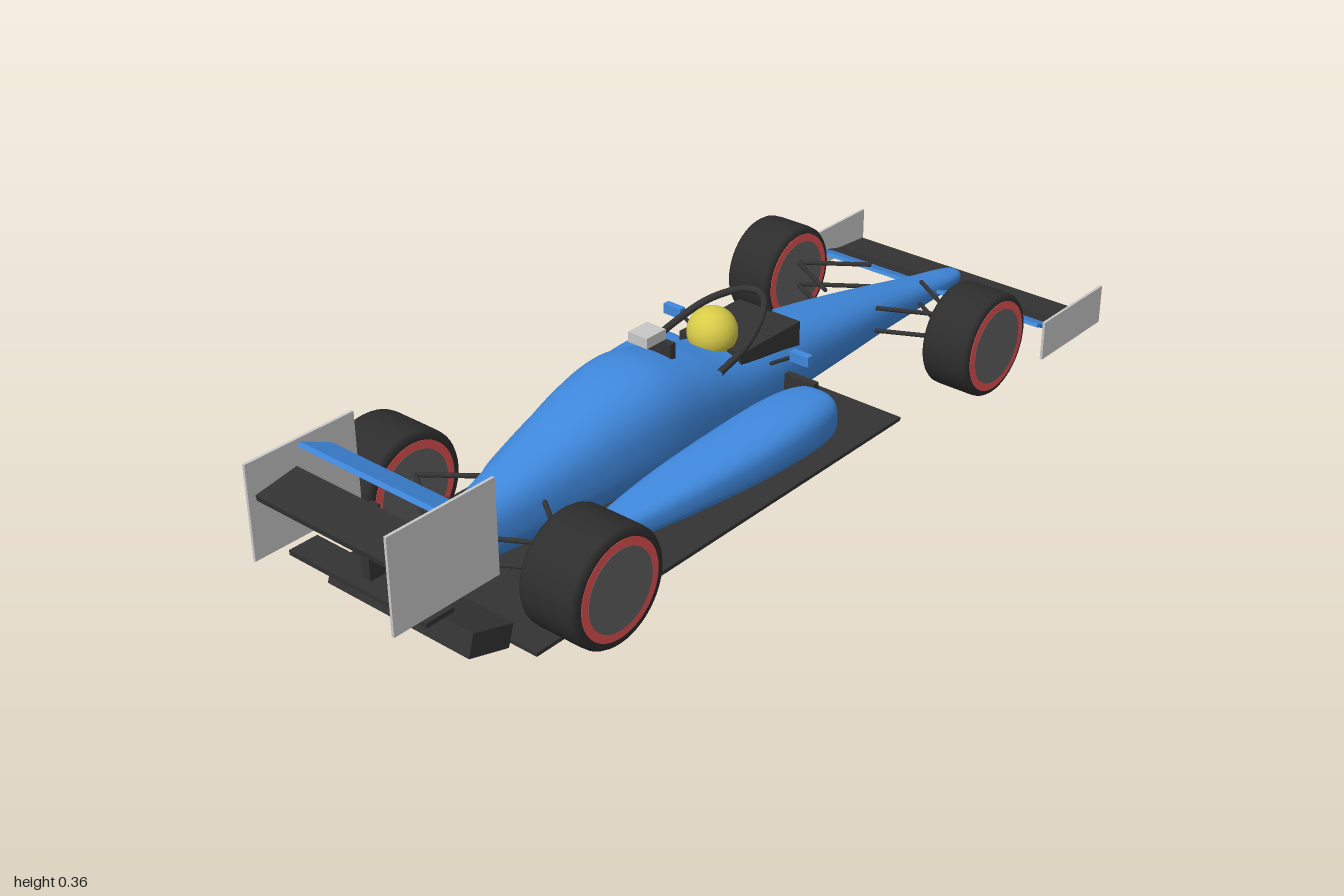
import * as THREE from 'three';

const paint = (name, color) => {
  const m = new THREE.MeshStandardMaterial({ color });
  m.name = name;
  return m;
};

// Uniform Catmull-Rom interpolation over rows of numbers
function sampleRows(rows, t) {
  const n = rows.length - 1;
  const i = Math.min(Math.floor(t * n), n - 1), f = t * n - i;
  const at = k => rows[Math.max(0, Math.min(n, k))];
  return rows[0].map((_, c) => {
    const a = at(i - 1)[c], b = at(i)[c], d = at(i + 1)[c], e = at(i + 2)[c];
    return b + 0.5 * f * (d - a + f * (2 * a - 5 * b + 4 * d - e + f * (3 * (b - d) + e - a)));
  });
}

// Smooth hull through superellipse sections: [z, centreX, halfWidth, bottomY, topY]
function loft(rows, power, rings = 60, sides = 40) {
  const pos = [], index = [];
  const bend = v => Math.sign(v) * Math.pow(Math.abs(v), 2 / power);
  for (let i = 0; i <= rings; i++) {
    const [z, cx, w, y0, y1] = sampleRows(rows, i / rings);
    for (let j = 0; j < sides; j++) {
      const a = (j / sides) * Math.PI * 2;
      pos.push(cx + w * bend(Math.cos(a)), (y0 + y1) / 2 + ((y1 - y0) / 2) * bend(Math.sin(a)), z);
    }
  }
  for (let i = 0; i < rings; i++) {
    for (let j = 0; j < sides; j++) {
      const k = (j + 1) % sides;
      const a = i * sides + j, b = i * sides + k, c = b + sides, d = a + sides;
      index.push(a, b, c, a, c, d);
    }
  }
  const g = new THREE.BufferGeometry();
  g.setAttribute('position', new THREE.Float32BufferAttribute(pos, 3));
  g.setIndex(index);
  g.computeVertexNormals();
  return g;
}

export function createModel() {
  const car = new THREE.Group();
  car.name = 'racingCar';
  const blue = paint('blue bodywork', 0x3f88dd);
  const dark = paint('dark carbon', 0x333333);
  const rubber = paint('tyre rubber', 0x2d2d2d);
  const red = paint('red tyre band', 0xe25050);
  const hub = paint('hub grey', 0x606060);
  const silver = paint('light grey', 0xc8c8c8);
  const yellow = paint('yellow helmet', 0xd8cb48);

  const add = (name, geo, mat, x = 0, y = 0, z = 0, parent = car) => {
    const m = new THREE.Mesh(geo, mat);
    m.name = name;
    m.position.set(x, y, z);
    parent.add(m);
    return m;
  };
  const box = (name, mat, w, h, d, x, y, z, tilt = 0) => {
    const m = add(name, new THREE.BoxGeometry(w, h, d), mat, x, y, z);
    m.rotation.x = tilt;
    return m;
  };
  const V = (x, y, z) => new THREE.Vector3(x, y, z);
  const tube = (name, points, r, segs = 1) =>
    add(name, new THREE.TubeGeometry(new THREE.CatmullRomCurve3(points), segs, r, 8), dark);
  const rod = (name, a, b, r = 0.005) => {
    const dir = b.clone().sub(a);
    const m = add(name, new THREE.CylinderGeometry(r, r, dir.length(), 8), dark);
    m.position.copy(a).addScaledVector(dir, 0.5);
    m.quaternion.setFromUnitVectors(V(0, 1, 0), dir.normalize());
  };

  // Main body from nose tip to tail
  add('body', loft([
    [-0.915, 0, 0.001, 0.07, 0.072],
    [-0.905, 0, 0.019, 0.058, 0.086],
    [-0.86, 0, 0.031, 0.055, 0.097],
    [-0.75, 0, 0.041, 0.056, 0.118],
    [-0.58, 0, 0.056, 0.058, 0.155],
    [-0.4, 0, 0.075, 0.058, 0.19],
    [-0.2, 0, 0.093, 0.058, 0.222],
    [-0.02, 0, 0.106, 0.058, 0.243],
    [0.1, 0, 0.117, 0.058, 0.278],
    [0.22, 0, 0.121, 0.058, 0.304],
    [0.35, 0, 0.106, 0.058, 0.284],
    [0.5, 0, 0.078, 0.06, 0.236],
    [0.67, 0, 0.047, 0.067, 0.185],
    [0.79, 0, 0.027, 0.08, 0.153],
    [0.83, 0, 0.016, 0.092, 0.134],
    [0.842, 0, 0.001, 0.11, 0.112],
  ], 2.5, 90), blue);

  // Cockpit, helmet, air intake and camera
  box('cockpitSurround', dark, 0.16, 0.055, 0.19, 0, 0.216, -0.118);
  add('helmet', new THREE.SphereGeometry(0.052, 32, 20), yellow, 0, 0.267, -0.03);
  box('airIntake', dark, 0.08, 0.045, 0.014, 0, 0.295, 0.136);
  box('camera', silver, 0.048, 0.022, 0.055, 0, 0.334, 0.166);

  // Cockpit hoop and its front strut
  tube('cockpitHoop', [
    V(0.093, 0.24, 0.06), V(0.09, 0.262, -0.02), V(0.068, 0.29, -0.1), V(0.03, 0.304, -0.155),
    V(0, 0.306, -0.168),
    V(-0.03, 0.304, -0.155), V(-0.068, 0.29, -0.1), V(-0.09, 0.262, -0.02), V(-0.093, 0.24, 0.06),
  ], 0.0075, 48);
  tube('hoopStrut', [V(0, 0.305, -0.168), V(0, 0.285, -0.195), V(0, 0.235, -0.216)], 0.006, 10);

  // Floor and diffuser
  box('floor', dark, 0.49, 0.008, 1.09, 0, 0.016, 0.195);
  box('diffuser', dark, 0.365, 0.048, 0.1, 0, 0.043, 0.787, -0.29);

  // Front wing
  box('frontWingMain', dark, 0.66, 0.01, 0.11, 0, 0.035, -0.942, -0.08);
  box('frontWingSecond', dark, 0.64, 0.008, 0.055, 0, 0.05, -0.872, -0.25);
  box('frontWingFlap', blue, 0.61, 0.008, 0.07, 0, 0.073, -0.81, -0.4);

  // Rear wing
  box('rearWingFlap', blue, 0.345, 0.01, 0.078, 0, 0.331, 0.847, -0.44);
  box('rearWingMain', dark, 0.345, 0.012, 0.095, 0, 0.294, 0.937, 0.17);
  box('rearWingPost', dark, 0.02, 0.175, 0.035, 0, 0.203, 0.883);
  box('rearBeamWing', dark, 0.35, 0.01, 0.065, 0, 0.145, 0.893);

  // Tyre outline, turned about the axle
  const wheel = (name, side, x0, x1, r, z) => {
    const g = new THREE.Group();
    g.name = name;
    g.position.set(side * (x0 + x1) / 2, 0.12, z);
    g.rotation.z = -Math.PI / 2;
    car.add(g);
    const h = (x1 - x0) / 2;
    const outline = [[0, -h], [r - 0.016, -h], [r - 0.005, -h + 0.002], [r - 0.001, -h + 0.008], [r, -h + 0.02],
      [r, h - 0.02], [r - 0.001, h - 0.008], [r - 0.005, h - 0.002], [r - 0.016, h], [0, h]];
    add('tyre', new THREE.LatheGeometry(outline.map(p => new THREE.Vector2(...p)), 48), rubber, 0, 0, 0, g);
    for (const s of [-1, 1]) {
      add('tyreBand', new THREE.CylinderGeometry(0.1, 0.1, 0.002, 48), red, 0, s * h, 0, g);
      add('hub', new THREE.CylinderGeometry(0.083, 0.083, 0.003, 48), hub, 0, s * (h + 0.0006), 0, g);
    }
  };

  for (const s of [1, -1]) {
    const side = s > 0 ? 'left' : 'right';
    wheel(side + 'RearWheel', s, 0.191, 0.326, 0.119, 0.61);
    wheel(side + 'FrontWheel', s, 0.208, 0.322, 0.115, -0.583);

    // Wishbones: two V shapes per wheel
    for (const y of [0.155, 0.101]) {
      for (const d of [-1, 1]) {
        rod(side + 'RearWishbone', V(s * 0.188, y, 0.61), V(s * 0.065, y + 0.006, 0.61 + d * 0.082));
        rod(side + 'FrontWishbone', V(s * 0.208, y, -0.583), V(s * 0.068, y + 0.006, -0.583 + d * 0.085));
      }
    }

    // Sidepod with radiator inlet
    add(side + 'Sidepod', loft([
      [-0.14, s * 0.195, 0.002, 0.11, 0.112],
      [-0.135, s * 0.195, 0.042, 0.07, 0.155],
      [-0.1, s * 0.191, 0.062, 0.059, 0.168],
      [-0.02, s * 0.187, 0.072, 0.057, 0.17],
      [0.1, s * 0.179, 0.072, 0.057, 0.16],
      [0.25, s * 0.165, 0.062, 0.057, 0.144],
      [0.38, s * 0.151, 0.045, 0.057, 0.124],
      [0.46, s * 0.143, 0.027, 0.058, 0.109],
      [0.485, s * 0.14, 0.002, 0.08, 0.082],
    ], 2.8), blue);
    box(side + 'RadiatorInlet', dark, 0.075, 0.085, 0.016, s * 0.138, 0.118, -0.146);

    // Mirror on a stalk
    box(side + 'Mirror', blue, 0.046, 0.022, 0.016, s * 0.166, 0.231, -0.106);
    rod(side + 'MirrorStalk', V(s * 0.146, 0.228, -0.106), V(s * 0.085, 0.19, -0.106), 0.004);

    // Wing endplates
    box(side + 'FrontEndplate', silver, 0.006, 0.09, 0.24, s * 0.331, 0.065, -0.88);
    box(side + 'RearEndplate', silver, 0.006, 0.195, 0.245, s * 0.176, 0.261, 0.8775);
  }
  return car;
}
